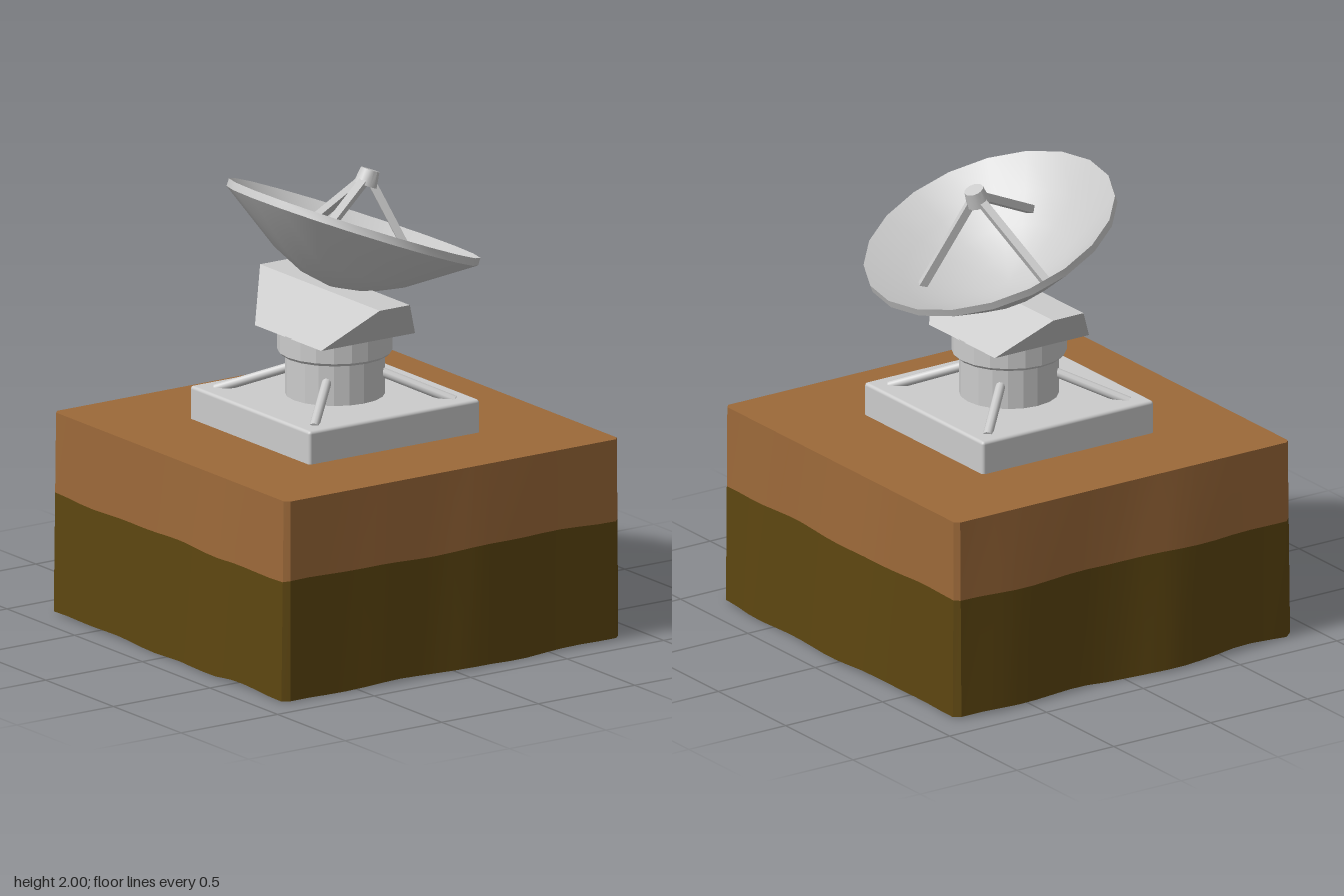
import * as THREE from 'three';
import { toCreasedNormals } from 'three/addons/utils/BufferGeometryUtils.js';
import { RoundedBoxGeometry } from 'three/addons/geometries/RoundedBoxGeometry.js';

const V = (x, y, z) => new THREE.Vector3(x, y, z);
const GREY = new THREE.MeshStandardMaterial({ color: 0xcccccc });
const FACETED = new THREE.MeshStandardMaterial({ color: 0xcccccc, flatShading: true });
const SOIL = new THREE.MeshStandardMaterial({ color: 0x9c6939, side: THREE.DoubleSide });
const ROCK = new THREE.MeshStandardMaterial({ color: 0x5d4610, side: THREE.DoubleSide });

function add(parent, name, geometry, material, x = 0, y = 0, z = 0) {
  const mesh = new THREE.Mesh(geometry, material);
  mesh.name = name;
  mesh.position.set(x, y, z);
  parent.add(mesh);
  return mesh;
}

// Stretches a y-aligned geometry of unit height between two points
function addBar(parent, name, geometry, material, a, b) {
  const bar = add(parent, name, geometry, material);
  const dir = b.clone().sub(a);
  bar.position.copy(a).add(b).multiplyScalar(0.5);
  bar.scale.y = dir.length();
  bar.quaternion.setFromUnitVectors(V(0, 1, 0), dir.normalize());
}

// Piecewise linear lookup in a list of [position, value]
function lookup(list, t) {
  for (let i = 1; i < list.length; i++) {
    const [p, a] = list[i - 1], [q, b] = list[i];
    if (t <= q) return a + (b - a) * Math.max(0, (t - p) / (q - p));
  }
  return list[list.length - 1][1];
}

// Ground outline, counter-clockwise from above; `depth` 0 = top, 1 = bottom
const X0 = -0.845, X1 = 0.877, Z0 = -0.858, Z1 = 0.868, CHAMFER = 0.02, STEPS = 18;
const BULGE = {
  front: [[-0.85, 0], [0.08, 0], [0.2, 0.01], [0.42, 0.016], [0.48, 0], [0.9, 0]],
  right: [[-0.87, 0], [-0.45, 0], [-0.08, 0.025], [0.12, 0.004], [0.4, 0.01], [0.55, 0], [0.9, 0]],
  back: [[-0.85, 0], [-0.36, 0], [-0.05, 0.03], [0.45, 0], [0.65, 0.02], [0.9, 0]],
  left: [[-0.87, 0.005], [-0.61, 0.04], [-0.2, 0], [0, 0.012], [0.24, 0.06], [0.6, 0], [0.9, 0]],
};
function outline(depth) {
  const points = [];
  const xAt = t => X0 + CHAMFER + (X1 - X0 - 2 * CHAMFER) * t;
  const zAt = t => Z0 + CHAMFER + (Z1 - Z0 - 2 * CHAMFER) * t;
  const flare = 0.012 * depth;
  const walls = [
    t => [xAt(t), Z1 + flare + depth * lookup(BULGE.front, xAt(t))],
    t => [X1 + flare * 0.3 + depth * lookup(BULGE.right, zAt(1 - t)), zAt(1 - t)],
    t => [xAt(1 - t), Z0 - flare * 0.3 - depth * lookup(BULGE.back, xAt(1 - t))],
    t => [X0 - depth * lookup(BULGE.left, zAt(t)), zAt(t)],
  ];
  for (const wall of walls) {
    for (let i = 0; i <= STEPS; i++) points.push(wall(i / STEPS));
  }
  return points;
}
const ripple = i => 0.5 + 0.3 * Math.sin(i * 0.55) + 0.2 * Math.sin(i * 1.3 + 1);

// One band of the ground wall between two rings of [x, z] points
function band(ringLow, yLow, ringHigh, yHigh) {
  const pos = [], index = [], n = ringLow.length;
  for (let i = 0; i < n; i++) {
    pos.push(ringLow[i][0], yLow(i), ringLow[i][1], ringHigh[i][0], yHigh(i), ringHigh[i][1]);
    const a = 2 * i, b = 2 * ((i + 1) % n);
    index.push(a, b, b + 1, a, b + 1, a + 1);
  }
  const g = new THREE.BufferGeometry();
  g.setAttribute('position', new THREE.Float32BufferAttribute(pos, 3));
  g.setIndex(index);
  return toCreasedNormals(g, 0.6);
}

function createGround() {
  const ground = new THREE.Group();
  ground.name = 'ground';
  const top = outline(0), middle = outline(0.4), bottom = outline(1);
  const yBottom = i => 0.016 * ripple(i);
  const yMiddle = i => 0.523 + 0.014 * ripple(i + 5);
  add(ground, 'rockLayer', band(bottom, yBottom, middle, yMiddle), ROCK);
  add(ground, 'soilLayer', band(middle, yMiddle, top, () => 0.885), SOIL);
  const shape = new THREE.Shape(top.map(([x, z]) => new THREE.Vector2(x, -z)));
  add(ground, 'soilTop', new THREE.ShapeGeometry(shape).rotateX(-Math.PI / 2), SOIL, 0, 0.885);
  return ground;
}

function createPedestal() {
  const pedestal = new THREE.Group();
  pedestal.name = 'pedestal';
  pedestal.position.set(0.015, 0, 0.012);
  add(pedestal, 'basePlate', new RoundedBoxGeometry(0.885, 0.16, 0.885, 2, 0.014), GREY, 0, 0.95);
  add(pedestal, 'column', new THREE.CylinderGeometry(0.213, 0.213, 0.22, 20), FACETED, 0, 1.12);

  // Turning collar with a small chamfer below
  const collar = [[0, 1.21], [0.232, 1.21], [0.245, 1.223], [0.245, 1.312], [0, 1.312]];
  add(pedestal, 'collar',
    new THREE.LatheGeometry(collar.map(p => new THREE.Vector2(...p)), 20), FACETED);

  // Diagonal struts
  const strut = new THREE.CylinderGeometry(0.021, 0.021, 1, 10);
  for (const sx of [-1, 1]) for (const sz of [-1, 1]) {
    addBar(pedestal, 'strut', strut, GREY,
      V(sx * 0.365, 1.02, sz * 0.365), V(sx * 0.135, 1.135, sz * 0.135));
  }

  // Head: spreads sideways and narrows front to back going up
  const head = new THREE.BoxGeometry(2, 0.196, 2);
  const p = head.attributes.position;
  for (let i = 0; i < p.count; i++) {
    const up = p.getY(i) > 0;
    p.setX(i, p.getX(i) * (up ? 0.442 : 0.245));
    p.setZ(i, p.getZ(i) * (up ? 0.078 : 0.243));
  }
  add(pedestal, 'head', head, FACETED, 0, 1.407);
  return pedestal;
}

function createDish() {
  const dish = new THREE.Group();
  dish.name = 'dish';
  dish.position.set(0.015, 1.782, -0.09);
  dish.rotation.x = -0.379;

  // Shell: outside up to the rim, then back down the inside
  const profile = [[0, -0.31], [0.15, -0.283], [0.29, -0.218], [0.56, -0.034], [0.56, 0],
    [0.42, -0.107], [0.29, -0.188], [0.15, -0.248], [0, -0.27]];
  const shell = new THREE.LatheGeometry(profile.map(p => new THREE.Vector2(...p)), 20);
  add(dish, 'reflector', toCreasedNormals(shell, 0.5), GREY);

  // Feed on a tripod
  add(dish, 'feed', toCreasedNormals(new THREE.CylinderGeometry(0.042, 0.052, 0.07, 14), 0.6),
    GREY, 0, 0.182);
  const leg = new THREE.BoxGeometry(0.034, 1, 0.034);
  for (let i = 0; i < 3; i++) {
    const tripodLeg = new THREE.Group();
    tripodLeg.name = 'tripodLeg';
    tripodLeg.rotation.y = Math.PI + i * Math.PI * 2 / 3;
    addBar(tripodLeg, 'leg', leg, GREY, V(0.355, -0.16, 0), V(0.02, 0.17, 0));
    dish.add(tripodLeg);
  }
  return dish;
}

export function createModel() {
  const model = new THREE.Group();
  model.name = 'satelliteDish';
  model.add(createGround(), createPedestal(), createDish());
  return model;
}
